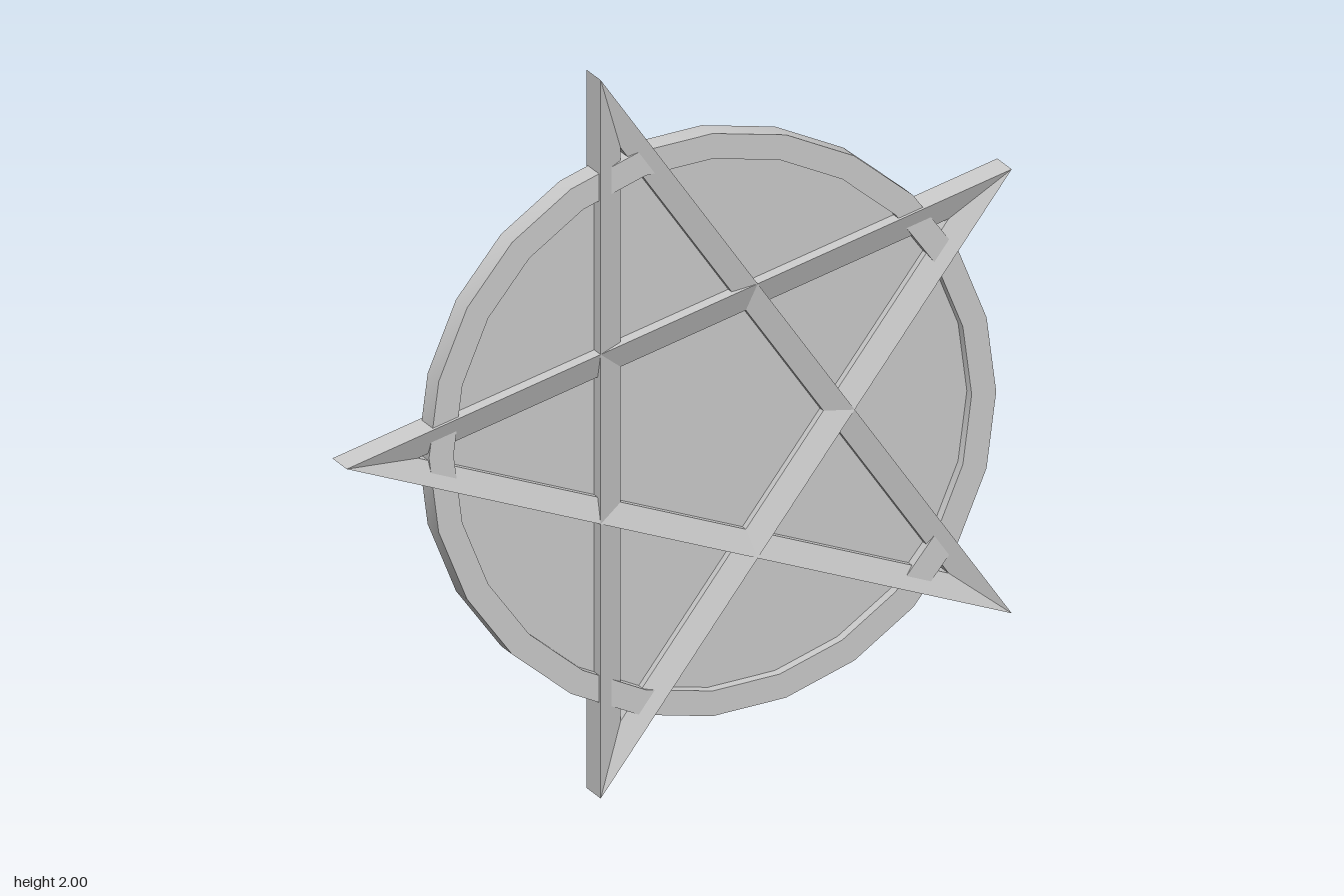
import * as THREE from 'three';
import { toCreasedNormals } from 'three/addons/utils/BufferGeometryUtils.js';

const TIP = 1.05;    // radius of the star tips
const APEX = 0.838;  // radius where the inner bar edges meet
const OUTER_Z = 0.052, INNER_Z = 0.03;

export function createModel() {
  const group = new THREE.Group();
  group.name = 'starDisc';
  const material = new THREE.MeshStandardMaterial({ color: 0xcccccc });
  const add = (name, geometry) => {
    const mesh = new THREE.Mesh(geometry, material);
    mesh.name = name;
    mesh.position.set(0.1, 1, 0);
    group.add(mesh);
  };

  // Rim: 24-sided rectangular ring
  const profile = [[0.81, -0.04], [0.81, 0.04], [0.74, 0.04], [0.74, -0.04], [0.81, -0.04]]
    .map(([r, h]) => new THREE.Vector2(r, h));
  const rim = new THREE.LatheGeometry(profile, 24).rotateX(Math.PI / 2);
  add('rim', toCreasedNormals(rim, 0.5));

  // Thin recessed plate inside the rim
  add('plate', new THREE.CylinderGeometry(0.76, 0.76, 0.01, 24).rotateX(Math.PI / 2));

  // Five bars from tip to tip, mitred at the tips, faces sloping down to the centre
  for (let k = 0; k < 5; k++) add('starBar' + (k + 1), barGeometry(k));
  return group;
}

function barGeometry(k) {
  const corner = (i, r, z) => {
    const a = Math.PI + (i * Math.PI * 2) / 5;
    return [r * Math.cos(a), r * Math.sin(a), z];
  };
  const section = (i) => ({
    of: corner(i, TIP, OUTER_Z), ob: corner(i, TIP, -OUTER_Z),
    nf: corner(i, APEX, INNER_Z), nb: corner(i, APEX, -INNER_Z),
  });
  const s = section(k), e = section(k + 2);
  const quads = [
    [s.of, e.of, e.nf, s.nf], // front
    [s.ob, e.ob, e.of, s.of], // outer side
    [s.nf, e.nf, e.nb, s.nb], // inner side
    [s.ob, s.nb, e.nb, e.ob], // back
  ];
  const positions = quads.flatMap(([a, b, c, d]) => [a, b, c, a, c, d].flat());
  const geometry = new THREE.BufferGeometry();
  geometry.setAttribute('position', new THREE.Float32BufferAttribute(positions, 3));
  geometry.computeVertexNormals();
  return geometry;
}
